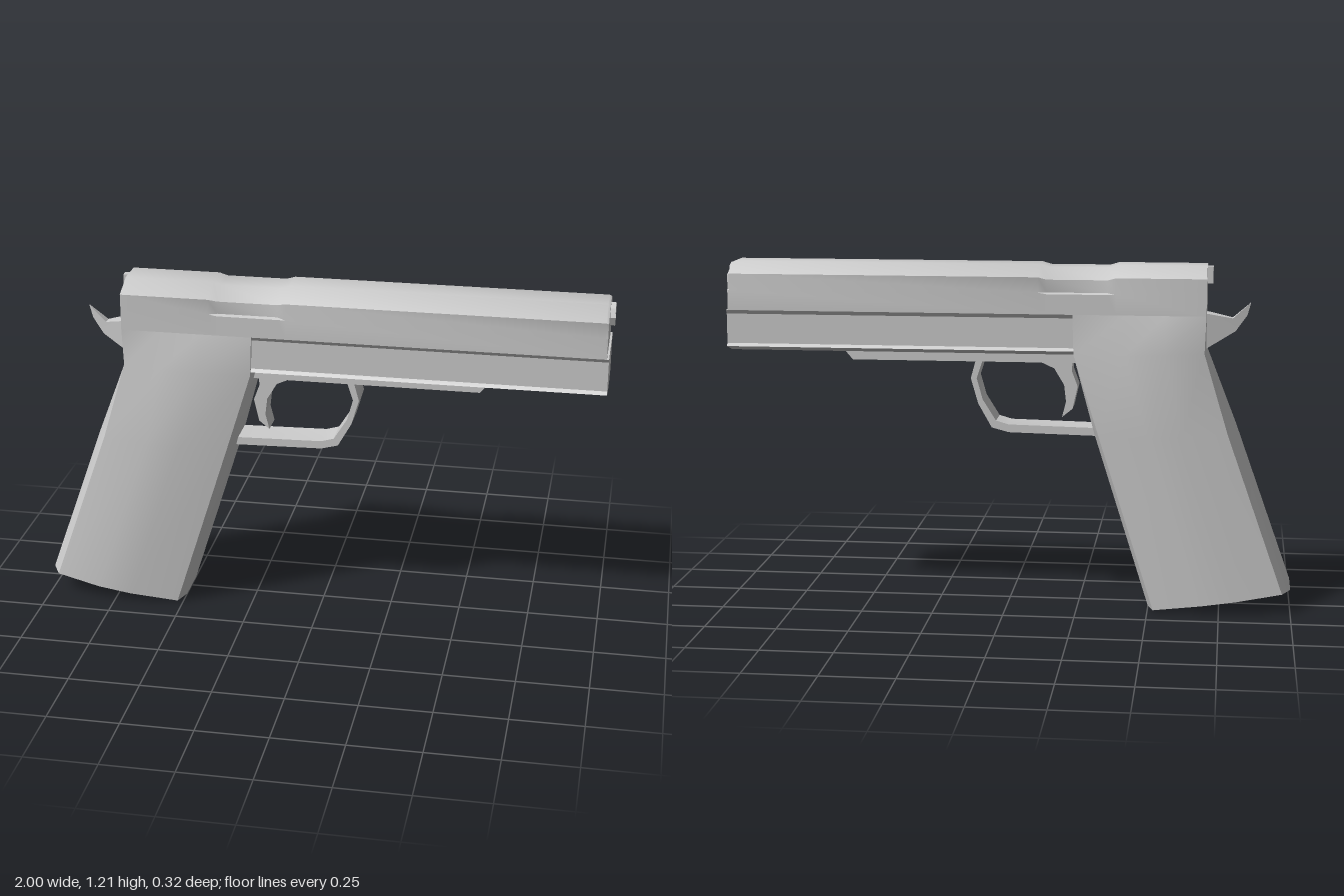
import * as THREE from 'three';
import { toCreasedNormals } from 'three/addons/utils/BufferGeometryUtils.js';

const material = new THREE.MeshStandardMaterial({ color: 0xcccccc });

function part(group, name, geometry, crease = 0.65) {
  const flat = geometry.index ? geometry.toNonIndexed() : geometry;
  const mesh = new THREE.Mesh(toCreasedNormals(flat, crease), material);
  mesh.name = name;
  group.add(mesh);
  return mesh;
}

// Complete a ring from the half on the +z side
const mirrorRing = (half) => [...half, ...half.slice().reverse().map(([x, y, z]) => [x, y, -z])];

// Skin a row of rings and close both ends
function loft(halves) {
  const rings = halves.map(mirrorRing);
  const n = rings[0].length, last = rings.length - 1, pos = [];
  const tri = (a, b, c) => pos.push(...a, ...b, ...c);
  for (let i = 0; i < last; i++) {
    for (let j = 0; j < n; j++) {
      const k = (j + 1) % n, p = rings[i], q = rings[i + 1];
      tri(p[j], p[k], q[k]);
      tri(p[j], q[k], q[j]);
    }
  }
  for (let j = 1; j < n - 1; j++) {
    tri(rings[last][0], rings[last][j], rings[last][j + 1]);
    tri(rings[0][0], rings[0][j + 1], rings[0][j]);
  }
  const geometry = new THREE.BufferGeometry();
  geometry.setAttribute('position', new THREE.Float32BufferAttribute(pos, 3));
  return geometry;
}

// Side outline extruded evenly about z = 0
function plate(points, halfWidth) {
  const shape = new THREE.Shape(points.map(([x, y]) => new THREE.Vector2(x, y)));
  return new THREE.ExtrudeGeometry(shape, { depth: 2 * halfWidth, bevelEnabled: false })
    .translate(0, 0, -halfWidth);
}

export function createModel() {
  const model = new THREE.Group();
  model.name = 'pistol';

  // Slide, with a shallow scoop over the port
  const slideRing = (x, inset = 0, drop = 0) => [
    [x, 1.215 - drop, 0.052], [x, 1.178 - drop, 0.137 - inset], [x, 1.125, 0.137 - inset],
    [x, 1.12, 0.137], [x, 1.05, 0.137],
  ];
  part(model, 'slide', loft([
    slideRing(-0.69), slideRing(-0.38), slideRing(-0.35, 0.013, 0.009),
    slideRing(-0.14, 0.013, 0.009), slideRing(-0.11), slideRing(0.975), slideRing(0.983, 0.004, 0.004),
  ]));

  // Frame with recessed sides
  const frameRing = (x) => [
    [x, 1.05, 0.137], [x, 1.036, 0.125], [x, 0.932, 0.125], [x, 0.922, 0.137], [x, 0.9, 0.06],
  ];
  part(model, 'frame', loft([frameRing(-0.25), frameRing(0.99)]), 0.4);

  // Grip, from the slanted butt up to the slide
  const gripRing = (xb, yb, xf, yf, profile) =>
    profile.map(([u, z]) => [xb + (xf - xb) * u, yb + (yf - yb) * u, z]);
  const bowed = [[0, 0.08], [0.06, 0.133], [0.38, 0.161], [0.62, 0.161], [0.96, 0.137], [1, 0.07]];
  const upper = [[0, 0.08], [0.01, 0.135], [0.3, 0.161], [0.6, 0.161], [0.99, 0.139], [1, 0.07]];
  const square = [[0, 0.08], [0, 0.137], [0.3, 0.137], [0.6, 0.137], [1, 0.137], [1, 0.07]];
  part(model, 'grip', loft([
    gripRing(-1, 0.08, -0.5, 0.003, bowed),
    gripRing(-0.8, 0.64, -0.305, 0.62, bowed),
    gripRing(-0.69, 0.92, -0.23, 0.91, upper),
    gripRing(-0.69, 1.05, -0.23, 1.05, square),
  ]));

  // Rail under the frame
  part(model, 'underRail', plate([[-0.25, 0.87], [0.555, 0.87], [0.585, 0.905], [-0.25, 0.905]], 0.057));

  // Trigger guard and trigger
  part(model, 'triggerGuard', plate([
    [-0.32, 0.612], [0, 0.619], [0.06, 0.635], [0.108, 0.72], [0.134, 0.81], [0.115, 0.88],
    [0.09, 0.88], [0.113, 0.81], [0.092, 0.735], [0.045, 0.66], [0, 0.647], [-0.32, 0.64],
  ], 0.057));
  part(model, 'trigger', plate([
    [-0.225, 0.88], [-0.222, 0.84], [-0.243, 0.785], [-0.225, 0.705], [-0.188, 0.675],
    [-0.202, 0.73], [-0.195, 0.79], [-0.16, 0.848], [-0.09, 0.88],
  ], 0.045));

  // Hammer, narrowing to its tip
  const hammer = plate([
    [-0.68, 1.05], [-0.78, 1.03], [-0.842, 1.085], [-0.83, 1.04], [-0.79, 0.985], [-0.68, 0.92],
  ], 0.042);
  const p = hammer.attributes.position;
  for (let i = 0; i < p.count; i++) {
    p.setZ(i, p.getZ(i) * Math.max(0.06, (p.getX(i) + 0.845) / 0.165));
  }
  part(model, 'hammer', hammer, 0.4);

  // Muzzle ring with its bore
  const muzzle = [[0.042, -0.02], [0.042, 0.014], [0.027, 0.014], [0.025, 0.001], [0, 0.001]];
  part(model, 'muzzle', new THREE.LatheGeometry(muzzle.map(([r, y]) => new THREE.Vector2(r, y)), 8)
    .rotateZ(-Math.PI / 2).translate(0.986, 1.165, 0), 0.4);

  // Small pin block on the back of the slide
  part(model, 'rearPin', new THREE.BoxGeometry(0.03, 0.06, 0.03).translate(-0.695, 1.18, 0));

  return model;
}
